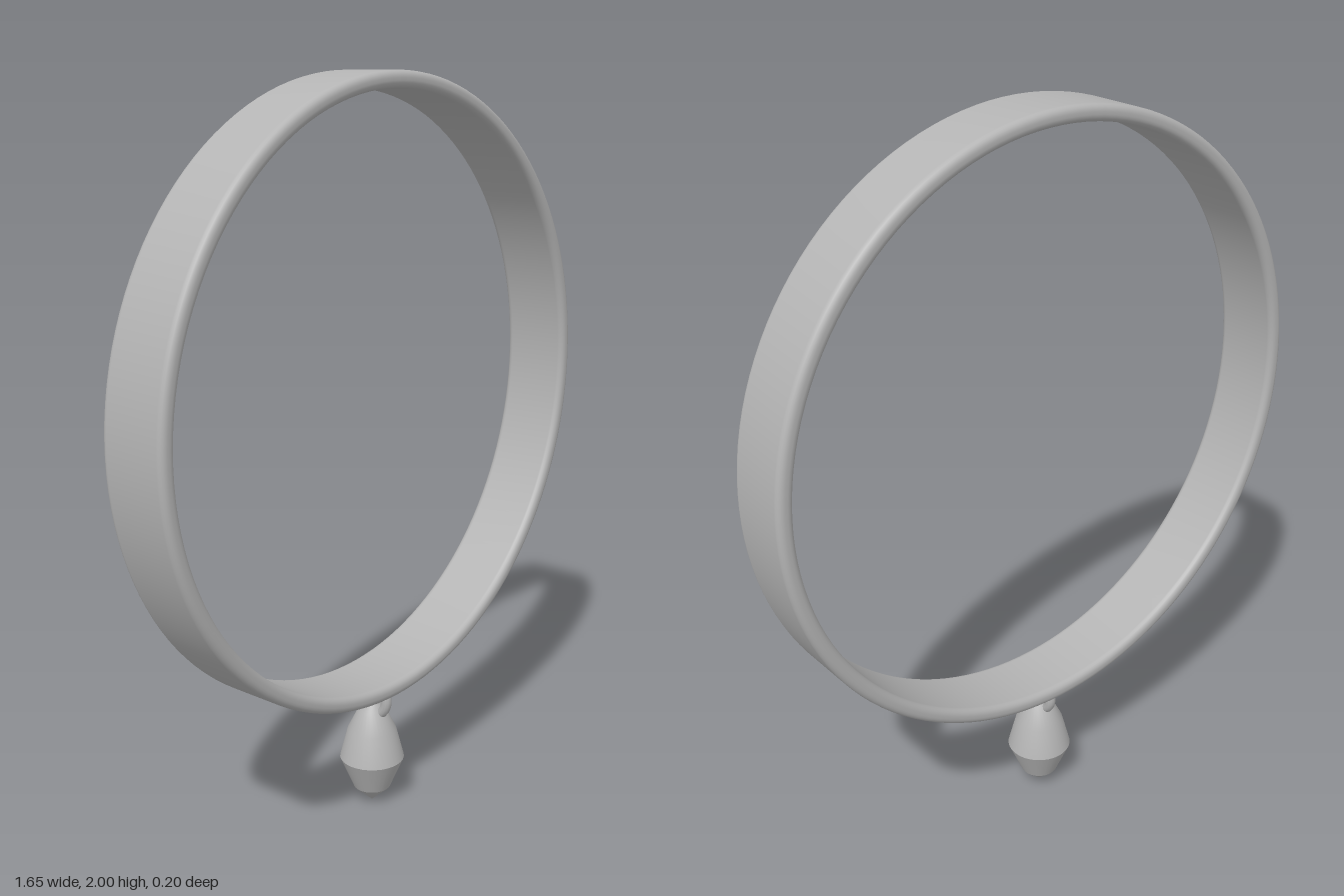
import * as THREE from 'three';

const v2 = (x, y) => new THREE.Vector2(x, y);

// Closed, rounded cross-section of the band, counter-clockwise from the middle of the outer wall
function bandProfile(inner, outer, half, r) {
  const points = [v2(outer, 0)];
  const corners = [[outer - r, half - r], [inner + r, half - r], [inner + r, r - half], [outer - r, r - half]];
  corners.forEach(([x, y], i) => {
    for (let k = 0; k <= 5; k++) {
      const a = (i + k / 5) * Math.PI / 2;
      points.push(v2(x + r * Math.cos(a), y + r * Math.sin(a)));
    }
  });
  points.push(v2(outer, 0));
  return points;
}

export function createModel() {
  const group = new THREE.Group();
  const silver = new THREE.MeshStandardMaterial({ color: 0xb4b4b4 });
  silver.name = 'silver grey';

  const add = (name, geometry, y) => {
    const mesh = new THREE.Mesh(geometry, silver);
    mesh.name = name;
    mesh.position.y = y;
    group.add(mesh);
  };

  // Flat bangle with softly rounded rims, its axis along z
  const band = new THREE.LatheGeometry(bandProfile(0.78, 0.823, 0.098, 0.018), 128);
  band.rotateX(Math.PI / 2);
  add('band', band, 1.177);

  // Small link joining the band to the pendant
  const link = new THREE.TorusGeometry(0.051, 0.015, 12, 32);
  link.rotateY(Math.PI / 2);
  add('link', link, 0.323);

  // Faceted drop; doubled points keep the girdle and the tip sharp
  const drop = [[0, 0.005], [0.052, 0.053], [0.052, 0.053], [0.09, 0.143], [0.09, 0.143],
    [0.068, 0.228], [0.038, 0.288], [0, 0.337]].map(([x, y]) => v2(x, y));
  add('pendant', new THREE.LatheGeometry(drop, 32), 0);

  return group;
}
